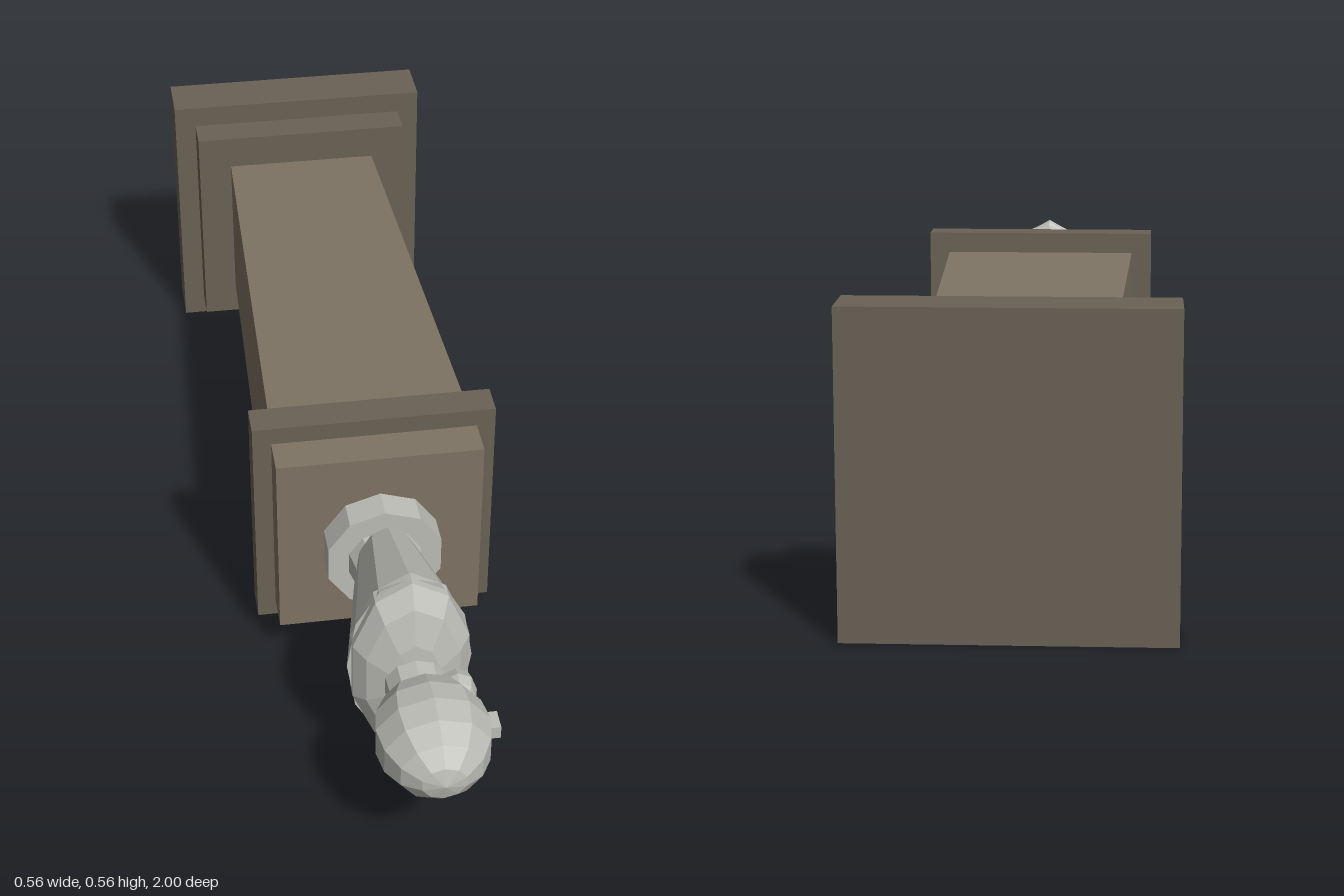
import * as THREE from 'three';

const material = (color) => new THREE.MeshStandardMaterial({ color, flatShading: true });

export function createModel() {
  const model = new THREE.Group();
  model.name = 'bustOnPedestal';

  // Built upright along y, then laid down so its top points to +z.
  const statue = new THREE.Group();
  statue.name = 'statue';
  statue.rotation.x = Math.PI / 2;
  statue.position.y = 0.281;
  model.add(statue);

  const darkStone = material(0x6a6255);
  const stone = material(0x7f7464);
  const marble = material(0xbdbdb7);
  const bronze = material(0x46351f);

  function add(name, geometry, mat, x = 0, y = 0, z = 0) {
    const mesh = new THREE.Mesh(geometry, mat);
    mesh.name = name;
    mesh.position.set(x, y, z);
    statue.add(mesh);
    return mesh;
  }

  const slab = (name, width, y0, y1, mat) =>
    add(name, new THREE.BoxGeometry(width, y1 - y0, width), mat, 0, (y0 + y1) / 2);

  // Round part with separate half-widths along x and z
  function taper(name, y0, y1, bottom, top, sides, mat, stretch = 1) {
    const g = new THREE.CylinderGeometry(top, bottom, y1 - y0, sides);
    g.scale(1, 1, stretch);
    return add(name, g, mat, 0, (y0 + y1) / 2);
  }

  // Faceted ellipsoid with a corner on the z axis
  function ellipsoid(name, rx, ry, rz, sides, rings, x, y) {
    const g = new THREE.SphereGeometry(1, sides, rings);
    g.rotateY(Math.PI / 2);
    g.scale(rx, ry, rz);
    return add(name, g, marble, x, y);
  }

  // Pedestal
  slab('plinth', 0.562, -1, -0.89, darkStone);
  slab('plinthStep', 0.47, -0.89, -0.82, darkStone);
  const shaft = new THREE.CylinderGeometry(0.194 * Math.SQRT2, 0.163 * Math.SQRT2, 1.02, 4);
  shaft.rotateY(Math.PI / 4);
  add('shaft', shaft, stone, 0, -0.31);
  slab('cornice', 0.47, 0.2, 0.265, darkStone);
  slab('capBlock', 0.398, 0.265, 0.34, stone);
  add('plaque', new THREE.BoxGeometry(0.02, 0.145, 0.22), bronze, 0.181, -0.138, -0.003);

  // Bust
  taper('socle', 0.34, 0.4, 0.115, 0.115, 10, marble);
  taper('stem', 0.4, 0.44, 0.073, 0.065, 10, marble);
  taper('torso', 0.43, 0.68, 0.062, 0.115, 12, marble, 1.72);
  ellipsoid('shoulders', 0.115, 0.066, 0.204, 10, 7, 0, 0.68);
  taper('neck', 0.72, 0.8, 0.058, 0.052, 10, marble);
  ellipsoid('head', 0.107, 0.125, 0.093, 10, 8, 0.009, 0.874);
  ellipsoid('beard', 0.036, 0.038, 0.044, 8, 6, 0.071, 0.772);
  add('nose', new THREE.BoxGeometry(0.04, 0.04, 0.026), marble, 0.108, 0.866, -0.002);

  return model;
}
